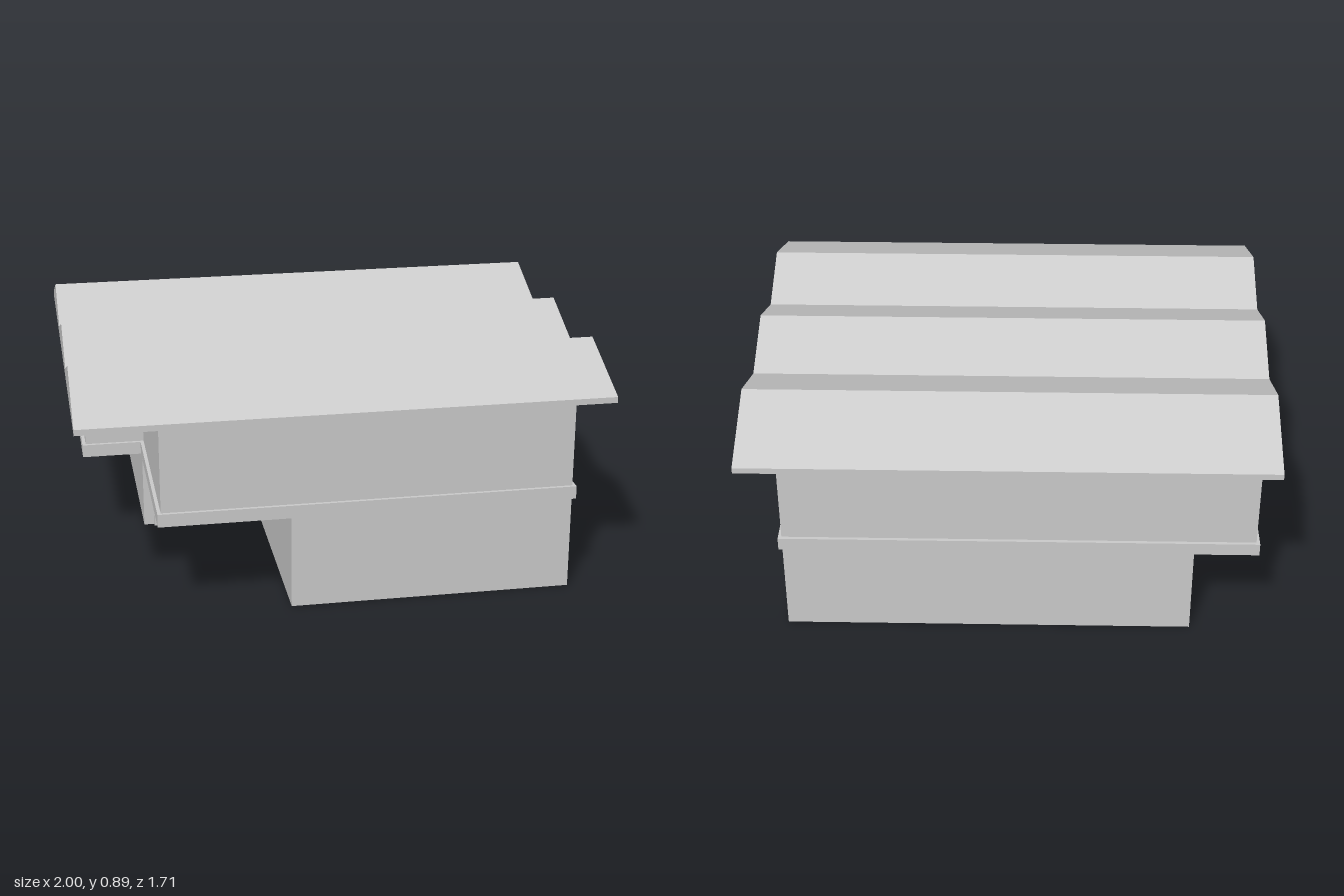
import * as THREE from 'three';

const material = new THREE.MeshStandardMaterial({ color: 0xcccccc, flatShading: true });

function add(group, name, geometry) {
  const mesh = new THREE.Mesh(geometry, material);
  mesh.name = name;
  group.add(mesh);
  return mesh;
}

const toShape = (points) => new THREE.Shape(points.map(([a, b]) => new THREE.Vector2(a, b)));
const rect = (a0, a1, b0, b1) => [[a0, b0], [a1, b0], [a1, b1], [a0, b1]];
const extrude = (points, depth, hole) => {
  const shape = toShape(points);
  if (hole) shape.holes.push(toShape(hole));
  return new THREE.ExtrudeGeometry(shape, { depth, bevelEnabled: false });
};

// Floor outline in (x, z), raised from y0 to y1
const plan = (points, y0, y1) =>
  extrude(points.map(([x, z]) => [x, -z]), y1 - y0).rotateX(-Math.PI / 2).translate(0, y0, 0);

// Side profile in (z, y), running from x0 to x1
const profile = (points, x0, x1, hole) => {
  const flip = (list) => list && list.map(([z, y]) => [-z, y]);
  return extrude(flip(points), x1 - x0, flip(hole)).rotateY(Math.PI / 2).translate(x0, 0, 0);
};

function box(x0, x1, y0, y1, z0, z1) {
  return new THREE.BoxGeometry(x1 - x0, y1 - y0, z1 - z0)
    .translate((x0 + x1) / 2, (y0 + y1) / 2, (z0 + z1) / 2);
}

// L-shaped plan of the upper storey, grown outward by e
const upperPlan = (e) => [
  [-0.93 - e, -0.8 - e], [0.85 + e, -0.8 - e], [0.85 + e, 0.83 + e],
  [-0.7 - e, 0.83 + e], [-0.7 - e, 0.1 + e], [-0.93 - e, 0.1 + e],
];

export function createModel() {
  const model = new THREE.Group();
  model.name = 'house';

  // Ground floor: hollow, with a covered parking bay at the front corner
  const t = 0.025;
  const lowerPlan = [[-0.7, -0.8], [0.85, -0.8], [0.85, 0.83], [-0.22, 0.83], [-0.22, -0.01], [-0.7, -0.01]];
  const opening = rect(0.545, 0.735, 0.03, 0.325);
  add(model, 'groundSlab', plan(lowerPlan, 0, 0.015));
  const walls = new THREE.Group();
  walls.name = 'groundFloorWalls';
  model.add(walls);
  add(walls, 'rightWall', profile(rect(-0.8, 0.83, 0, 0.37), 0.85 - t, 0.85, opening));
  add(walls, 'backWall', box(-0.7, 0.85 - t, 0, 0.37, -0.8, -0.8 + t));
  add(walls, 'leftWall', box(-0.7, -0.7 + t, 0, 0.37, -0.8 + t, -0.01));
  add(walls, 'garageWall', box(-0.7 + t, -0.22, 0, 0.37, -0.01 - t, -0.01));
  add(walls, 'bayWall', box(-0.22, -0.22 + t, 0, 0.37, -0.01 - t, 0.83));
  add(walls, 'frontWall', box(-0.22 + t, 0.85 - t, 0, 0.37, 0.83 - t, 0.83));

  // Framed doorway in the right wall
  add(model, 'doorwayFrame', profile(rect(0.53, 0.755, 0.018, 0.34), 0.82, 0.865, opening));

  // Garage door at the back of the parking bay
  add(model, 'garageDoorFrame',
    extrude(rect(-0.66, -0.245, 0, 0.327), 0.02, rect(-0.647, -0.26, 0.017, 0.313)).translate(0, 0, -0.012));
  add(model, 'garageDoorPanel', box(-0.65, -0.257, 0.015, 0.315, -0.012, -0.004));

  // Projecting floor band, then the upper storey
  add(model, 'floorBand', plan(upperPlan(0.013), 0.365, 0.415));
  add(model, 'upperStorey', plan(upperPlan(0), 0.41, 0.75));

  // Roof with three parallel ridges
  add(model, 'roof', profile([
    [0.855, 0.745], [0.855, 0.768], [0.525, 0.895], [0.265, 0.795], [0.01, 0.895],
    [-0.258, 0.793], [-0.525, 0.895], [-0.855, 0.768], [-0.855, 0.745],
  ], -1, 1));

  return model;
}
